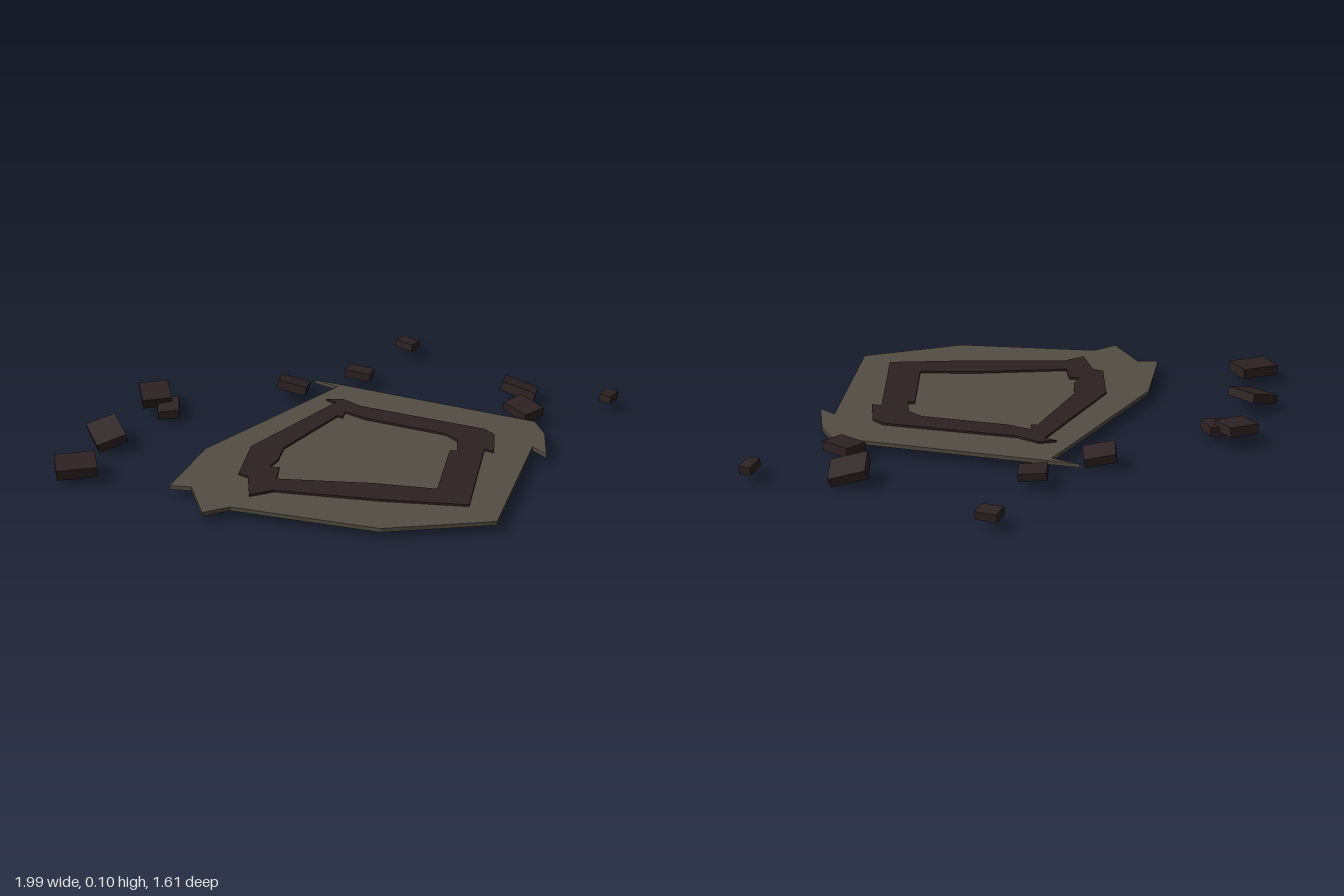
import * as THREE from 'three';

const stone = new THREE.MeshStandardMaterial({ color: 0x544e44 });
stone.name = 'grey stone';
const dark = new THREE.MeshStandardMaterial({ color: 0x2d2223 });
dark.name = 'dark rock';

const toPoints = (list) => list.map(([x, z]) => new THREE.Vector2(x, z));

// Flat slab from an x/z outline, with its upper face at y = top
function slab(name, outline, hole, top, thickness, material) {
  const shape = new THREE.Shape(toPoints(outline));
  if (hole) shape.holes.push(new THREE.Path(toPoints(hole)));
  const geometry = new THREE.ExtrudeGeometry(shape, { depth: thickness, bevelEnabled: false });
  geometry.rotateX(Math.PI / 2).translate(0, top, 0);
  const mesh = new THREE.Mesh(geometry, material);
  mesh.name = name;
  return mesh;
}

export function createModel() {
  const group = new THREE.Group();
  group.name = 'crackedGround';

  // Broad jagged base slab
  const base = [
    [-0.465, -0.27], [0.235, -0.36], [0.21, -0.465], [0.26, -0.36], [0.595, 0.35],
    [0.55, 0.445], [0.435, 0.565], [0.44, 0.49], [-0.045, 0.8], [-0.375, 0.58],
    [-0.665, 0.135], [-0.76, 0.105], [-0.68, -0.065], [-0.73, -0.125],
  ];
  group.add(slab('baseSlab', base, null, 0.043, 0.015, stone));

  // Dark raised band
  const outer = [
    [0.12, -0.29], [0.17, -0.25], [0.18, -0.16], [0.4, 0.285], [0.395, 0.34],
    [0.3, 0.435], [0.285, 0.4], [-0.045, 0.665], [-0.25, 0.44], [-0.485, 0.15],
    [-0.57, 0.12], [-0.49, 0.01], [-0.5, -0.03], [-0.34, -0.165], [0.13, -0.245],
  ];
  const inner = [
    [-0.255, -0.08], [0.06, -0.155], [0.07, -0.135], [0.105, -0.16], [0.125, -0.07],
    [0.265, 0.22], [0.26, 0.285], [0.2, 0.345], [0.185, 0.325], [-0.05, 0.51],
    [-0.19, 0.335], [-0.425, 0.09], [-0.365, 0.03], [-0.385, 0], [-0.33, -0.02],
  ];
  group.add(slab('darkBand', outer, inner, 0.051, 0.01, dark));

  // Scattered rocks: x, y, z, width, height, depth, yaw, tilt about x, tilt about z
  const rocks = [
    [-0.9, 0.048, -0.455, 0.145, 0.038, 0.12, -0.51, 0.05, 0.04],
    [-0.67, 0.048, -0.6, 0.113, 0.034, 0.15, -0.33, 0.05, 0.27],
    [-0.36, 0.062, -0.73, 0.11, 0.036, 0.125, -0.5, 0.12, 0.08],
    [-0.36, 0.036, -0.645, 0.08, 0.034, 0.107, -0.64, 0.05, 0.1],
    [0.11, 0.048, -0.475, 0.09, 0.034, 0.115, 0.68, 0.05, -0.25],
    [0.375, 0.05, -0.39, 0.075, 0.03, 0.1, 0.6, 0.03, -0.12],
    [0.705, 0.05, -0.475, 0.06, 0.03, 0.08, 0.25, 0.03, -0.08],
    [0.75, 0.047, 0.115, 0.115, 0.036, 0.135, 0.62, 0.1, -0.34],
    [0.63, 0.05, 0.255, 0.09, 0.035, 0.125, -0.06, 0.06, 0.06],
    [0.955, 0.05, 0.39, 0.073, 0.03, 0.045, 0.33, 0.03, -0.08],
  ];
  rocks.forEach(([x, y, z, w, h, d, yaw, tiltX, tiltZ], i) => {
    const rock = new THREE.Mesh(new THREE.BoxGeometry(w, h, d), dark);
    rock.name = `rock${i + 1}`;
    rock.position.set(x, y, z);
    rock.rotation.set(tiltX, yaw, tiltZ, 'XZY');
    group.add(rock);
  });

  return group;
}
